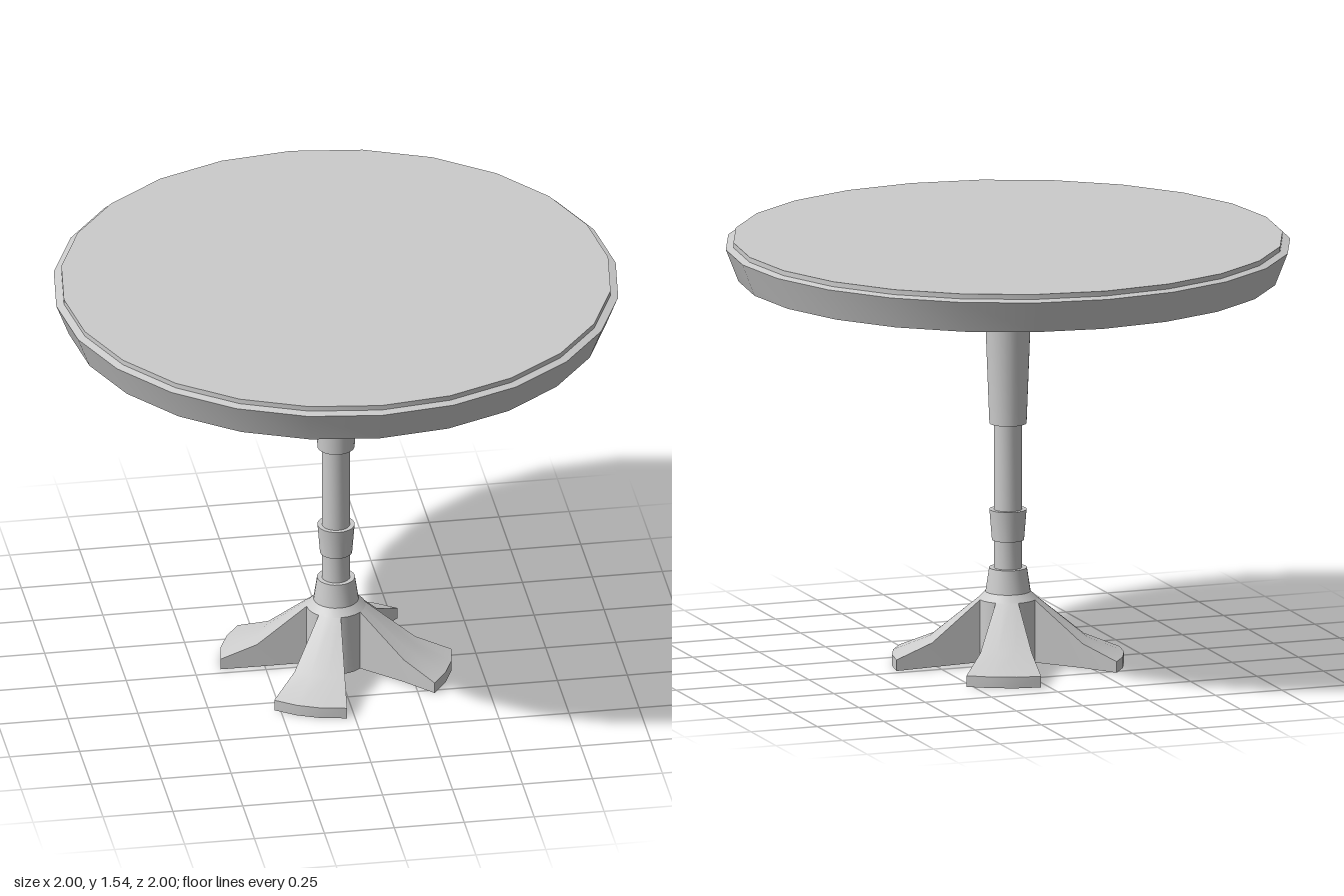
import * as THREE from 'three';
import { toCreasedNormals } from 'three/addons/utils/BufferGeometryUtils.js';

const SIDES = 24;
const CREASE = Math.PI / 7;

// Turned part from [radius, height] points, listed bottom to top
function turned(name, points, material) {
  const profile = points.map(([r, y]) => new THREE.Vector2(r, y));
  const geometry = toCreasedNormals(new THREE.LatheGeometry(profile, SIDES).toNonIndexed(), CREASE);
  const mesh = new THREE.Mesh(geometry, material);
  mesh.name = name;
  return mesh;
}

// Splayed foot: arched cross-sections lofted outward from the hub
function footGeometry() {
  const STEPS = 3, LOOP = 2 * (STEPS + 1);
  // radius, top height, bottom height, start and end angle in degrees
  const stations = [
    [0.105, 0.24, 0.015, 0, 45],
    [0.28, 0.095, 0.007, 3, 41],
    [0.41, 0.04, 0, 4, 41.5],
  ];
  const positions = [], index = [];
  for (const [r, top, bottom, a0, a1] of stations) {
    for (let j = 0; j < LOOP; j++) {
      const onTop = j <= STEPS;
      const t = (onTop ? j : LOOP - 1 - j) / STEPS;
      const a = THREE.MathUtils.degToRad(a0 + (a1 - a0) * t);
      positions.push(r * Math.cos(a), onTop ? top : bottom, r * Math.sin(a));
    }
  }
  const quad = (a, b, c, d) => index.push(a, b, c, a, c, d);
  for (let i = 0; i < stations.length - 1; i++) {
    for (let j = 0; j < LOOP; j++) {
      const k = (j + 1) % LOOP;
      quad(i * LOOP + j, i * LOOP + k, (i + 1) * LOOP + k, (i + 1) * LOOP + j);
    }
  }
  // Curved outer end
  const end = (stations.length - 1) * LOOP;
  for (let j = 0; j < STEPS; j++) {
    quad(end + j, end + j + 1, end + LOOP - 2 - j, end + LOOP - 1 - j);
  }
  const geometry = new THREE.BufferGeometry();
  geometry.setAttribute('position', new THREE.Float32BufferAttribute(positions, 3));
  geometry.setIndex(index);
  return toCreasedNormals(geometry.toNonIndexed(), CREASE);
}

export function createModel() {
  const model = new THREE.Group();
  model.name = 'roundPedestalTable';
  const material = new THREE.MeshStandardMaterial({ color: 0xcccccc });

  // Round top with a bevelled rim and a shallow conical underside
  model.add(turned('tableTop', [
    [0, 1.345], [0.955, 1.4], [1, 1.515], [0.973, 1.522], [0.973, 1.54], [0, 1.54],
  ], material));

  // Column with a flared head, plain shaft and two collars
  model.add(turned('column', [
    [0.08, 0.265], [0.067, 0.35], [0.05, 0.35],
    [0.05, 0.45], [0.057, 0.45], [0.066, 0.56], [0.05, 0.56],
    [0.05, 0.87], [0.066, 0.87], [0.085, 1.36],
  ], material));

  // Hub that carries the feet
  model.add(turned('hub', [
    [0, 0.015], [0.105, 0.015], [0.105, 0.24], [0.08, 0.265],
  ], material));

  // Four feet around the hub
  const foot = footGeometry();
  for (let i = 0; i < 4; i++) {
    const mesh = new THREE.Mesh(foot, material);
    mesh.name = `foot${i + 1}`;
    mesh.rotation.y = i * Math.PI / 2;
    model.add(mesh);
  }
  return model;
}
